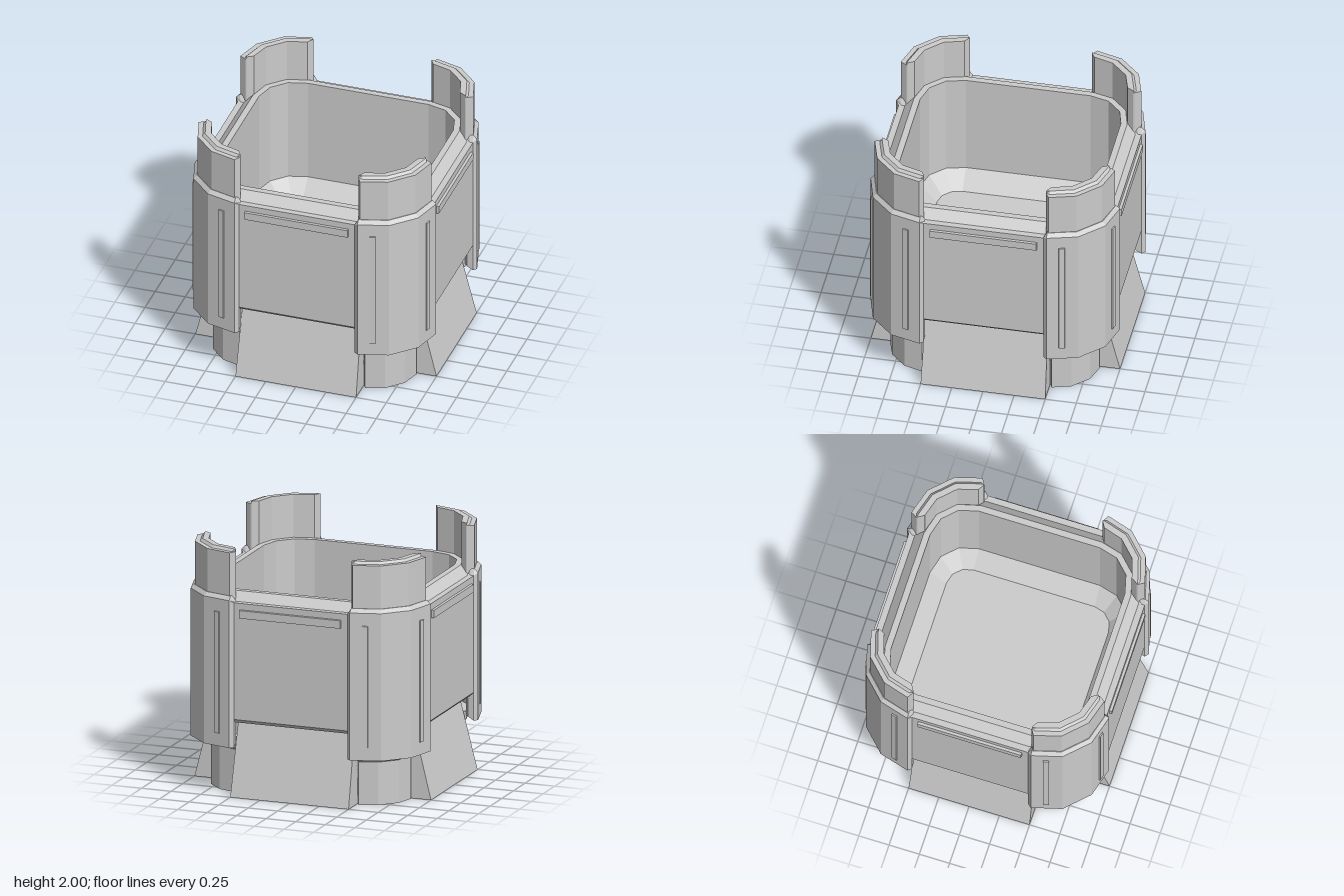
import * as THREE from 'three';

const material = new THREE.MeshStandardMaterial({ color: 0xcccccc, flatShading: true });
const C = 0.5; // centre of the corner arcs
const ARC = [0, 1, 2, 3].map(i => i * Math.PI / 6);

function meshFrom(name, tris) {
  const g = new THREE.BufferGeometry();
  g.setAttribute('position', new THREE.Float32BufferAttribute(tris.flat(2), 3));
  g.computeVertexNormals();
  const m = new THREE.Mesh(g, material);
  m.name = name;
  return m;
}

function quad(out, a, b, c, d) {
  out.push([a, b, c], [a, c, d]);
}

// Square ring with faceted round corners, half-size h
function ring(h, y) {
  const pts = [];
  for (let k = 0; k < 4; k++) {
    const ca = Math.cos(k * Math.PI / 2), sa = Math.sin(k * Math.PI / 2);
    for (const t of ARC) {
      const x = h ? C + (h - C) * Math.sin(t) : 0;
      const z = h ? C + (h - C) * Math.cos(t) : 0;
      pts.push([x * ca + z * sa, y, z * ca - x * sa]);
    }
  }
  return pts;
}

function loft(name, profile) {
  const rings = profile.map(([h, y]) => ring(h, y)), tris = [];
  for (let i = 0; i < rings.length - 1; i++) {
    const lo = rings[i], hi = rings[i + 1], n = lo.length;
    for (let j = 0; j < n; j++) {
      const k = (j + 1) % n;
      quad(tris, lo[j], lo[k], hi[k], hi[j]);
    }
  }
  return meshFrom(name, tris);
}

// Closed (radius, y) profile swept round one corner. The ends run from offset
// start to offset end, narrowing by inset on both sides and lowered to endTop.
function cornerSweep(name, profile, { start, end, inset, endTop = Infinity }) {
  const radii = profile.map(p => p[0]);
  const mid = (Math.max(...radii) + Math.min(...radii)) / 2;
  const station = (t, shift, narrow, top) => profile.map(([r, y]) => {
    const q = r - Math.sign(r - mid) * Math.min(narrow, Math.abs(r - mid));
    return [
      C + q * Math.sin(t) + shift * Math.cos(t),
      Math.min(y, top),
      C + q * Math.cos(t) - shift * Math.sin(t),
    ];
  });
  const s = [
    station(ARC[0], -end, inset, endTop), station(ARC[0], -start, 0, Infinity),
    station(ARC[1], 0, 0, Infinity), station(ARC[2], 0, 0, Infinity),
    station(ARC[3], start, 0, Infinity), station(ARC[3], end, inset, endTop),
  ];
  const tris = [], n = profile.length;
  for (let i = 0; i < s.length - 1; i++) {
    for (let j = 0; j < n; j++) {
      const k = (j + 1) % n;
      quad(tris, s[i][j], s[i + 1][j], s[i + 1][k], s[i][k]);
    }
  }
  const a = s[0], b = s[s.length - 1];
  for (let j = 0; j < n - 2; j++) {
    tris.push([a[n - 1], a[j], a[j + 1]], [b[n - 1], b[j + 1], b[j]]);
  }
  return meshFrom(name, tris);
}

// Box whose front (+z) face is narrowed by a bevel
function slat(name, w, h, d, bevel) {
  const g = new THREE.BoxGeometry(w, h, d), p = g.attributes.position;
  for (let i = 0; i < p.count; i++) {
    if (p.getZ(i) > 0) {
      p.setX(i, p.getX(i) - Math.sign(p.getX(i)) * bevel);
      p.setY(i, p.getY(i) - Math.sign(p.getY(i)) * bevel);
    }
  }
  const m = new THREE.Mesh(g, material);
  m.name = name;
  return m;
}

// Flared foot below one wall
function skirt() {
  const g = new THREE.BoxGeometry(1, 1, 1), p = g.attributes.position;
  for (let i = 0; i < p.count; i++) {
    const top = p.getY(i) > 0, front = p.getZ(i) > 0;
    p.setXYZ(i, Math.sign(p.getX(i)) * (top ? 0.49 : 0.5), top ? 0.61 : 0, front ? (top ? 0.845 : 1) : 0.4);
  }
  const m = new THREE.Mesh(g, material);
  m.name = 'skirt';
  return m;
}

export function createModel() {
  const model = new THREE.Group();
  model.name = 'tower';

  // Hollow core: overhanging walls, rim, upright well, bevelled floor
  model.add(loft('body', [
    [0, 0], [0.8, 0], [0.8, 0.6], [0.945, 0.6], [0.975, 0.63],
    [0.975, 1.58], [0.925, 1.58], [0.855, 1.65], [0.805, 1.65],
    [0.805, 0.785], [0.67, 0.65], [0, 0.65],
  ]));

  // Each quarter carries one wall's details and one corner
  for (let i = 0; i < 4; i++) {
    const side = new THREE.Group();
    side.name = 'side' + (i + 1);
    side.rotation.y = i * Math.PI / 2;

    side.add(skirt());

    const strip = slat('wallStrip', 0.86, 0.07, 0.05, 0.003);
    strip.position.set(0, 1.495, 0.972);
    side.add(strip);

    side.add(cornerSweep('footColumn',
      [[0.34, 0], [0.34, 0.35], [0.4, 0.4], [0.4, 0.46], [0.2, 0.46], [0.2, 0]],
      { start: -0.02, end: 0, inset: 0.04 }));
    side.add(cornerSweep('cornerPanel',
      [[0.5, 0.4], [0.5, 1.6], [0.47, 1.63], [0.43, 1.63], [0.4, 1.6], [0.4, 0.43]],
      { start: -0.01, end: 0.02, inset: 0.025, endTop: 1.58 }));
    side.add(cornerSweep('battlement',
      [[0.465, 1.56], [0.465, 1.98], [0.425, 1.98], [0.405, 2], [0.355, 2], [0.355, 1.56]],
      { start: -0.02, end: 0.01, inset: 0.05 }));

    // Upright slats on the outer two facets of the corner
    for (const [x, z, deg] of [[0.625, 0.963, 15], [0.963, 0.625, 75]]) {
      const rib = slat('cornerSlat', 0.056, 1, 0.03, 0.006);
      rib.position.set(x, 1, z);
      rib.rotation.y = deg * Math.PI / 180;
      side.add(rib);
    }
    model.add(side);
  }
  return model;
}
